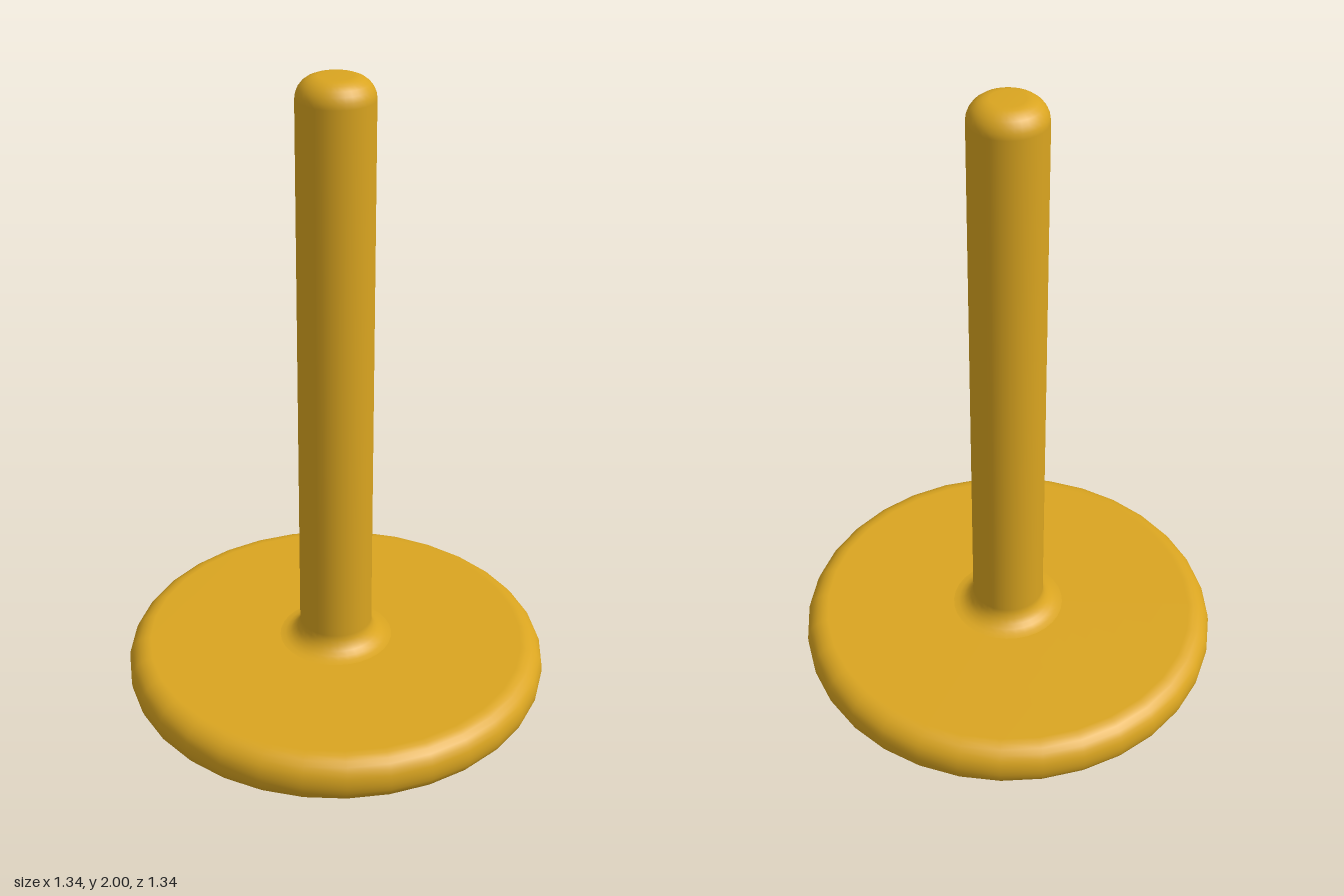
import * as THREE from 'three';

const SIDES = 32;

// Points on a circular arc in the profile plane, angles in degrees
function arc(cx, cy, r, from, to, steps = 6) {
  return Array.from({ length: steps + 1 }, (_, i) => {
    const a = THREE.MathUtils.degToRad(from + ((to - from) * i) / steps);
    return new THREE.Vector2(cx + r * Math.cos(a), cy + r * Math.sin(a));
  });
}

export function createModel() {
  const group = new THREE.Group();
  group.name = 'stand';
  const material = new THREE.MeshStandardMaterial({ color: 0xdaa520 });

  const addTurned = (name, points) => {
    const mesh = new THREE.Mesh(new THREE.LatheGeometry(points, SIDES), material);
    mesh.name = name;
    group.add(mesh);
  };

  // Round base disc with softened rims
  const baseR = 0.67, baseH = 0.155, rim = 0.07;
  addTurned('base', [
    new THREE.Vector2(0, 0),
    ...arc(baseR - rim, rim, rim, -90, 0),
    ...arc(baseR - rim, baseH - rim, rim, 0, 90),
    new THREE.Vector2(0, baseH),
  ]);

  // Pole: flared foot blending into the base, straight shaft, rounded top
  const poleR = 0.115, flare = 0.065, cap = 0.065;
  addTurned('pole', [
    ...arc(poleR + flare, baseH + flare, flare, 270, 180),
    ...arc(poleR - cap, 2 - cap, cap, 0, 90),
    new THREE.Vector2(0, 2),
  ]);

  return group;
}
